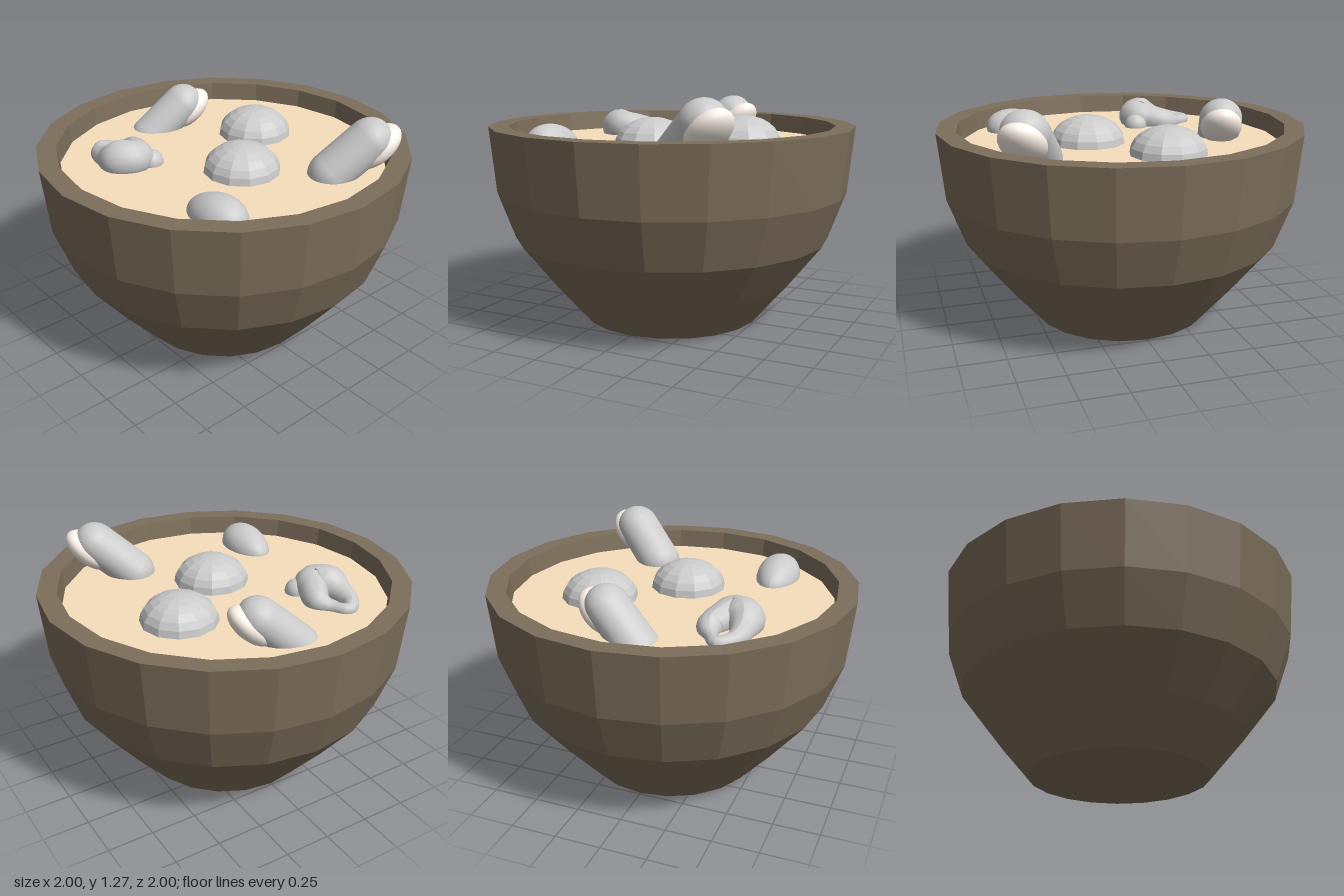
import * as THREE from 'three';

const mat = (color, extra = {}) => new THREE.MeshStandardMaterial({ color, ...extra });

export function createModel() {
  const model = new THREE.Group();
  const grey = mat(0xcccccc);
  const greyFlat = mat(0xcccccc, { flatShading: true });
  const nailMat = mat(0xfff4ec);

  const add = (name, geometry, material, parent = model) => {
    const mesh = new THREE.Mesh(geometry, material);
    mesh.name = name;
    parent.add(mesh);
    return mesh;
  };

  // Faceted bowl: outer wall, flat rim and inner wall
  const profile = [[0, 0], [0.49, 0], [0.68, 0.22], [0.87, 0.46], [0.965, 0.72], [1, 1.08],
    [0.895, 1.08], [0.88, 0.98], [0.85, 0.72], [0.76, 0.48], [0.45, 0.1], [0, 0.08]]
    .map(([x, y]) => new THREE.Vector2(x, y));
  add('bowl', new THREE.LatheGeometry(profile, 20),
    mat(0x7d6e5b, { flatShading: true, side: THREE.DoubleSide }));

  // Liquid surface
  const soup = add('soup', new THREE.CircleGeometry(0.882, 20), mat(0xf7dfbc));
  soup.rotation.x = -Math.PI / 2;
  soup.position.y = 0.98;

  // Floating faceted balls
  for (const [x, z] of [[-0.15, -0.365], [0.18, 0.025]]) {
    const ball = add('ball', new THREE.SphereGeometry(0.207, 12, 12), greyFlat);
    ball.scale.y = 0.72;
    ball.position.set(x, 0.98, z);
  }

  // Finger rising out of the soup, with a nail on its upper side
  function finger(tip, yaw, pitch, r) {
    const g = new THREE.Group();
    g.name = 'finger';
    const dir = new THREE.Vector3(Math.sin(yaw) * Math.cos(pitch), Math.sin(pitch), -Math.cos(yaw) * Math.cos(pitch));
    const side = new THREE.Vector3(Math.cos(yaw), 0, Math.sin(yaw)).negate();
    const up = new THREE.Vector3().crossVectors(side, dir);
    g.quaternion.setFromRotationMatrix(new THREE.Matrix4().makeBasis(side, dir, up));
    g.position.set(...tip);
    const body = new THREE.CapsuleGeometry(r, 0.26, 8, 24);
    body.translate(0, -0.13, 0);
    body.scale(1, 1, 0.9);
    add('fingerBody', body, grey, g);
    const nail = new THREE.SphereGeometry(1, 24, 16);
    nail.scale(r * 0.96, r * 1.22, r * 0.62);
    nail.translate(0, r * 0.06, r * 0.46);
    add('fingerNail', nail, nailMat, g);
    model.add(g);
  }
  finger([0.615, 1.155, -0.465], 0.5, 0.7, 0.125);
  finger([-0.538, 1.1, -0.135], 0.33, 0.7, 0.118);

  // Rounded lying piece, thicker toward its tip
  const toeGeo = new THREE.SphereGeometry(1, 28, 18);
  const tp = toeGeo.attributes.position;
  for (let i = 0; i < tp.count; i++) {
    const x = tp.getX(i), k = 1 + 0.12 * x;
    tp.setXYZ(i, x * 0.185, tp.getY(i) * 0.115 * k + 0.015 * x, tp.getZ(i) * 0.12 * k);
  }
  toeGeo.computeVertexNormals();
  add('toe', toeGeo, grey).position.set(0.485, 0.985, 0.46);

  // Ear: closed loop of varying thickness, rows are [x, y, z, radius]
  const rows = [[-0.53, 0.99, 0.43, 0.035], [-0.47, 0.99, 0.495, 0.045], [-0.37, 1.0, 0.51, 0.065],
    [-0.27, 1.02, 0.49, 0.105], [-0.225, 1.025, 0.42, 0.095], [-0.29, 1.02, 0.38, 0.08],
    [-0.38, 1.0, 0.345, 0.07], [-0.475, 0.99, 0.385, 0.033]];
  const path = new THREE.CatmullRomCurve3(rows.map(([x, y, z]) => new THREE.Vector3(x, y, z)), true);
  const thick = new THREE.CatmullRomCurve3(rows.map((p) => new THREE.Vector3(p[3], 0, 0)), true);
  const SEG = 64, RAD = 16;
  const earGeo = new THREE.TubeGeometry(path, SEG, 1, RAD, true);
  const ep = earGeo.attributes.position;
  const v = new THREE.Vector3();
  for (let i = 0; i < ep.count; i++) {
    const u = Math.floor(i / (RAD + 1)) / SEG;
    const c = path.getPointAt(u % 1);
    const r = thick.getPoint(path.getUtoTmapping(u % 1)).x;
    v.fromBufferAttribute(ep, i).sub(c).multiplyScalar(r).add(c);
    ep.setXYZ(i, v.x, v.y, v.z);
  }
  earGeo.computeVertexNormals();
  add('ear', earGeo, grey);

  // Ear lobe
  const lobe = add('earLobe', new THREE.SphereGeometry(0.065, 20, 14), grey);
  lobe.position.set(-0.197, 0.99, 0.34);

  return model;
}
